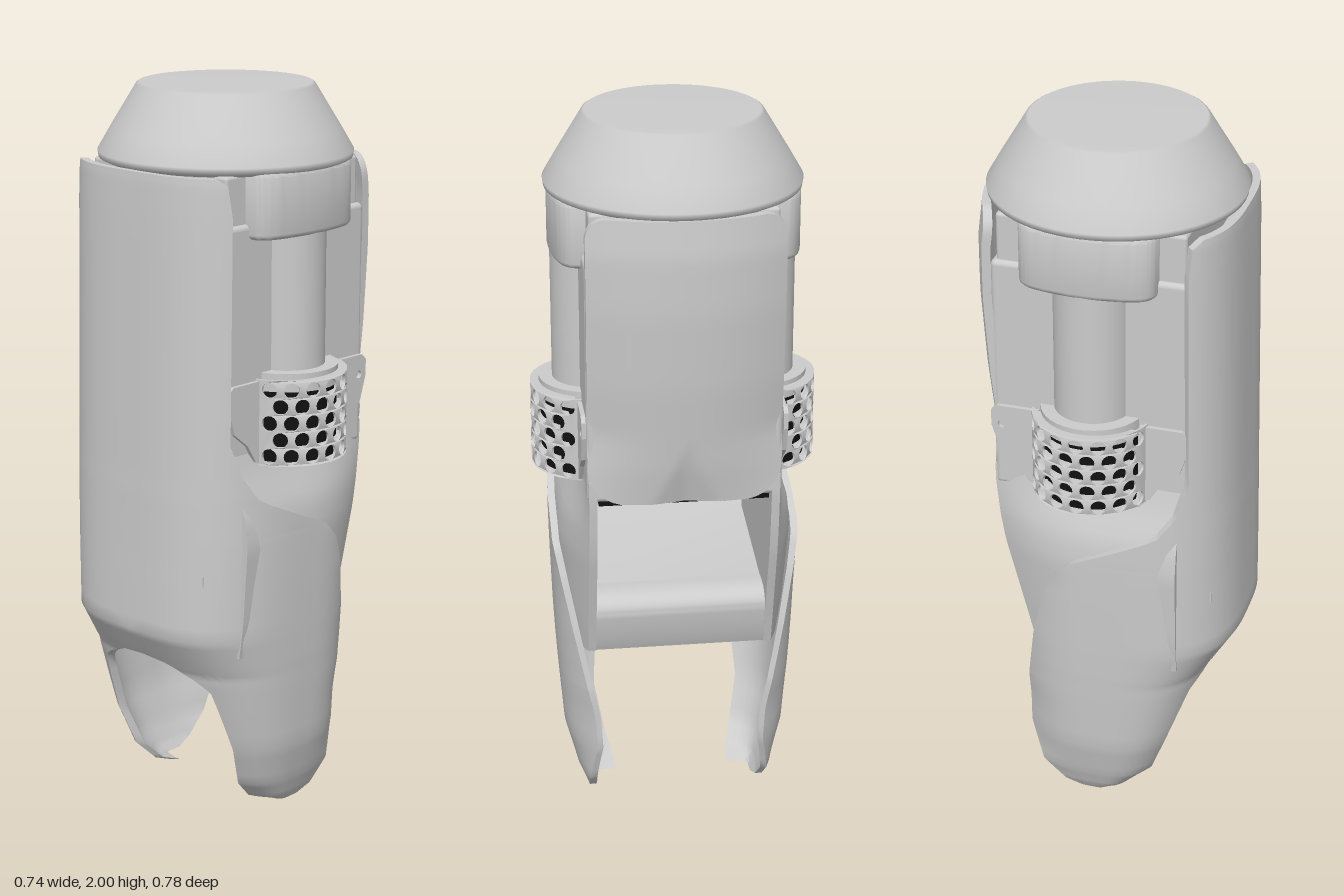
import * as THREE from 'three';
import { toCreasedNormals } from 'three/addons/utils/BufferGeometryUtils.js';
import { RoundedBoxGeometry } from 'three/addons/geometries/RoundedBoxGeometry.js';

const CX = 0.015; // axis of the cap and pistons
const grey = new THREE.MeshStandardMaterial({ color: 0xcccccc });
const dark = new THREE.MeshStandardMaterial({ color: 0x111111 });
const clamp = THREE.MathUtils.clamp;

// Linear lookup in rows of [y, value, value, ...]
function lookup(rows, y) {
  let i = 0;
  while (i < rows.length - 2 && y > rows[i + 1][0]) i++;
  const t = clamp((y - rows[i][0]) / (rows[i + 1][0] - rows[i][0]), 0, 1);
  return rows[i].map((a, k) => a + (rows[i + 1][k] - a) * t);
}

// Closed slab between f(u,v,0) outside and f(u,v,thickness) inside
function slab(nu, nv, thickness, f) {
  const pos = [], idx = [], n = (nu + 1) * (nv + 1);
  for (const d of [0, thickness])
    for (let j = 0; j <= nv; j++)
      for (let i = 0; i <= nu; i++) pos.push(...f(i / nu, j / nv, d));
  const id = (l, i, j) => l * n + j * (nu + 1) + i;
  const quad = (a, b, c, d) => idx.push(a, b, c, a, c, d);
  for (let j = 0; j < nv; j++)
    for (let i = 0; i < nu; i++) {
      quad(id(0, i, j), id(0, i + 1, j), id(0, i + 1, j + 1), id(0, i, j + 1));
      quad(id(1, i, j + 1), id(1, i + 1, j + 1), id(1, i + 1, j), id(1, i, j));
    }
  for (let i = 0; i < nu; i++) {
    quad(id(1, i, 0), id(1, i + 1, 0), id(0, i + 1, 0), id(0, i, 0));
    quad(id(0, i, nv), id(0, i + 1, nv), id(1, i + 1, nv), id(1, i, nv));
  }
  for (let j = 0; j < nv; j++) {
    quad(id(1, 0, j), id(0, 0, j), id(0, 0, j + 1), id(1, 0, j + 1));
    quad(id(1, nu, j + 1), id(0, nu, j + 1), id(0, nu, j), id(1, nu, j));
  }
  const g = new THREE.BufferGeometry();
  g.setAttribute('position', new THREE.Float32BufferAttribute(pos, 3));
  g.setIndex(idx);
  return toCreasedNormals(g, 0.7);
}

// Mirror across z = 0, keeping faces outward
function mirrored(geo) {
  const g = geo.index ? geo.toNonIndexed() : geo.clone();
  g.scale(1, 1, -1);
  for (const a of Object.values(g.attributes))
    for (let t = 0; t < a.count; t += 3)
      for (let k = 0; k < a.itemSize; k++) {
        const p = a.getComponent(t + 1, k);
        a.setComponent(t + 1, k, a.getComponent(t + 2, k));
        a.setComponent(t + 2, k, p);
      }
  return g;
}

// Half of the rear shell with its side fin: y, rear x, front x, half width, roundness of the rear edge
const SHELL = [
  [0, -0.03, 0.05, 0.245, 1.17], [0.02, -0.085, 0.1, 0.258, 1.17], [0.08, -0.145, 0.165, 0.282, 1.17],
  [0.2, -0.19, 0.205, 0.314, 1.17], [0.38, -0.255, 0.203, 0.328, 1.1], [0.43, -0.29, 0.195, 0.331, 1.02],
  [0.46, -0.315, 0.19, 0.333, 1], [0.55, -0.37, 0.175, 0.337, 1], [0.7, -0.367, 0.135, 0.342, 1],
  [0.78, -0.365, 0.1, 0.344, 1], [0.83, -0.364, 0.05, 0.345, 1], [0.88, -0.363, -0.06, 0.345, 1],
  [0.94, -0.362, -0.19, 0.345, 1], [1, -0.36, -0.235, 0.345, 1], [1.1, -0.358, -0.265, 0.345, 1],
  [1.7, -0.345, -0.255, 0.342, 1], [1.78, -0.342, -0.262, 0.34, 1], [1.8, -0.34, -0.285, 0.338, 1]];
function shellPoint(u, v, d) {
  const r = v * (SHELL.length - 1), i = Math.min(Math.floor(r), SHELL.length - 2);
  const [y, xr, xf, b, k] = lookup(SHELL, SHELL[i][0] + (SHELL[i + 1][0] - SHELL[i][0]) * (r - i));
  const xc = 0.01, a = (xc - xr) * k, right = Math.PI / 2;
  const start = Math.acos(Math.min(1, Math.pow(1 / k, 1.5)));
  const end = xf < xc ? Math.acos(Math.pow((xc - xf) / a, 1.5)) : right + (xf - xc) * 5;
  const t = start + (end - start) * u;
  if (t <= right)
    return [xc - (a - d) * Math.pow(Math.max(0, Math.cos(t)), 2 / 3), y, (b - d) * Math.pow(Math.sin(t), 2 / 3)];
  const s = (t - right) / (end - right);
  const drop = 0.25 * clamp((0.8 - y) / 0.5, 0, 1) * Math.min(1, y / 0.2);
  return [xc + (xf - xc) * s, y, (b - d) * (1 - drop * Math.pow(s, 2.5))];
}

// Flaring cheek below the piston: y, front x, bulge
const CHEEK = [[0.5, 0.18, 0.04], [0.6, 0.205, 0.055], [0.82, 0.262, 0.07], [0.9, 0.275, 0.06],
  [1, 0.285, 0.02], [1.06, 0.286, 0.004]];
function cheekPoint(u, v, d) {
  const [y, xf, bulge] = lookup(CHEEK, 0.5 + 0.56 * v);
  const x = -0.24 + (xf + 0.24) * u;
  return [x, y, d ? 0.235 : 0.257 + bulge * (1 - Math.pow(Math.max(0, x / xf), 2))];
}

// Rounded front plate, bowed across and tapering down, with a small dent at the lower edge
const PLATE = [[1, 0.312], [1.1, 0.328], [1.34, 0.356], [1.55, 0.37], [1.7, 0.37], [1.8, 0.357]];
function platePoint(u, v, d) {
  const y = 1.4 - 0.4 * Math.cos(Math.PI * v);
  const r = y < 1.4 ? 0.1 : 0.06;
  const e = Math.max(0, r - Math.min(y - 1, 1.8 - y));
  const z = (0.26 - r + Math.sqrt(Math.max(0, r * r - e * e))) * (1 - 2 * u);
  const dent = 0.02 * Math.max(0, 1 - Math.abs(z) / 0.09 - (y - 1) / 0.17);
  const bow = 0.065 * Math.pow(Math.abs(z) / 0.26, 2.2) * (y < 1.2 ? 0.4 + 3 * (y - 1) : 1);
  return [lookup(PLATE, y)[1] - bow - dent - d, y, z];
}

// Perforated guard: flat sheet with staggered holes, bent round the piston
function guardGeometry() {
  const half = 0.22, y0 = 1.02, y1 = 1.255, pts = [];
  for (let i = 0; i <= 24; i++) pts.push(new THREE.Vector2(-half + (2 * half * i) / 24, y0));
  for (let i = 24; i >= 0; i--) pts.push(new THREE.Vector2(-half + (2 * half * i) / 24, y1));
  const sheet = new THREE.Shape(pts);
  for (let row = 0; row < 5; row++)
    for (let k = -3; k <= 3 - (row % 2); k++) {
      const hole = new THREE.Path();
      hole.absarc((k + (row % 2) / 2) * 0.06, 1.046 + row * 0.0455, 0.021, 0, Math.PI * 2, true);
      sheet.holes.push(hole);
    }
  const g = new THREE.ExtrudeGeometry(sheet, { depth: 0.007, bevelEnabled: false, curveSegments: 7 });
  const p = g.attributes.position;
  for (let i = 0; i < p.count; i++) {
    const t = p.getX(i) / 0.165, r = 0.158 + p.getZ(i);
    p.setXYZ(i, CX + r * Math.sin(t), p.getY(i), 0.225 + r * Math.cos(t));
  }
  return toCreasedNormals(g, 0.5);
}

// Mounting tab of the guard, on side s
function tabGeometry(s) {
  const shape = new THREE.Shape(
    [[0.14, 1.02], [0.17, 1.03], [0.2, 1.08], [0.25, 1.12], [0.272, 1.19], [0.272, 1.235], [0.255, 1.25], [0.14, 1.25]]
      .map(([x, y]) => new THREE.Vector2(CX + s * x, y)));
  const hole = new THREE.Path();
  hole.absarc(CX + s * 0.243, 1.195, 0.011, 0, Math.PI * 2, true);
  shape.holes.push(hole);
  return new THREE.ExtrudeGeometry(shape, { depth: 0.012, bevelEnabled: false }).translate(0, 0, 0.263);
}

// Rounded collar block over the piston
function collarGeometry() {
  const s = new THREE.Shape();
  s.moveTo(-0.17, 0.2).lineTo(0.17, 0.2).lineTo(0.17, 0.27);
  s.quadraticCurveTo(0.165, 0.298, 0.12, 0.308).quadraticCurveTo(0, 0.334, -0.12, 0.308);
  s.quadraticCurveTo(-0.165, 0.298, -0.17, 0.27);
  const g = new THREE.ExtrudeGeometry(s, { depth: 0.15, bevelSize: 0.014, bevelThickness: 0.014, bevelSegments: 3 });
  return toCreasedNormals(g.rotateX(Math.PI / 2).translate(CX, 1.793, 0), 0.6);
}

export function createModel() {
  const group = new THREE.Group();
  const add = (name, geo, mat = grey) => {
    const m = new THREE.Mesh(geo, mat);
    m.name = name;
    group.add(m);
  };
  const addPair = (name, geo, mat) => {
    add(name + 'Front', geo, mat);
    add(name + 'Back', mirrored(geo), mat);
  };
  const box = (x0, x1, y0, y1, z, r) => new RoundedBoxGeometry(x1 - x0, y1 - y0, 2 * z, 2, r)
    .translate((x0 + x1) / 2, (y0 + y1) / 2, 0);

  // Top cap
  const profile = [[0, 1.795], [0.325, 1.795], [0.342, 1.803], [0.345, 1.82], [0.31, 1.88], [0.24, 1.995], [0.232, 2], [0, 2]];
  add('topCap', new THREE.LatheGeometry(profile.map(([r, y]) => new THREE.Vector2(r, y)), 64).translate(CX, 0, 0));

  // Core body, neck and dark underside
  add('coreBody', box(-0.255, 0.284, 1.0, 1.67, 0.262, 0.015));
  add('neck', box(-0.24, 0.27, 1.6, 1.8, 0.248, 0.01));
  add('underside', new THREE.BoxGeometry(0.5, 0.02, 0.46).translate(0.02, 0.995, 0), dark);

  // Shells and plate
  addPair('rearShell', slab(36, 68, 0.02, shellPoint));
  addPair('cheek', slab(20, 20, 0.02, cheekPoint));
  add('frontPlate', slab(28, 36, 0.025, platePoint));

  // Cross brace between the cheeks and the wall behind it
  const brace = new THREE.Shape();
  brace.moveTo(-0.32, 0.74).lineTo(0.1, 0.672).quadraticCurveTo(0.205, 0.68, 0.205, 0.62);
  brace.quadraticCurveTo(0.195, 0.55, 0.175, 0.5).lineTo(0.15, 0.505);
  brace.quadraticCurveTo(0.175, 0.64, 0.1, 0.645).lineTo(-0.32, 0.71);
  add('crossBrace', toCreasedNormals(
    new THREE.ExtrudeGeometry(brace, { depth: 0.48, bevelEnabled: false }).translate(0, 0, -0.24), 0.6));
  add('innerWall', new THREE.BoxGeometry(0.02, 0.29, 0.47).translate(-0.29, 0.865, 0));

  // Pistons with collars and perforated guards
  addPair('collar', collarGeometry());
  addPair('piston', new THREE.CylinderGeometry(0.105, 0.105, 0.65, 40).translate(CX, 1.325, 0.225));
  addPair('guardLiner', new THREE.CylinderGeometry(0.138, 0.138, 0.2, 40).translate(CX, 1.125, 0.225), dark);
  addPair('guardRing', new THREE.CylinderGeometry(0.141, 0.141, 0.05, 40).translate(CX, 1.243, 0.225));
  addPair('guard', guardGeometry());
  for (const s of [-1, 1]) addPair(s < 0 ? 'guardTabRight' : 'guardTabLeft', tabGeometry(s));
  return group;
}
